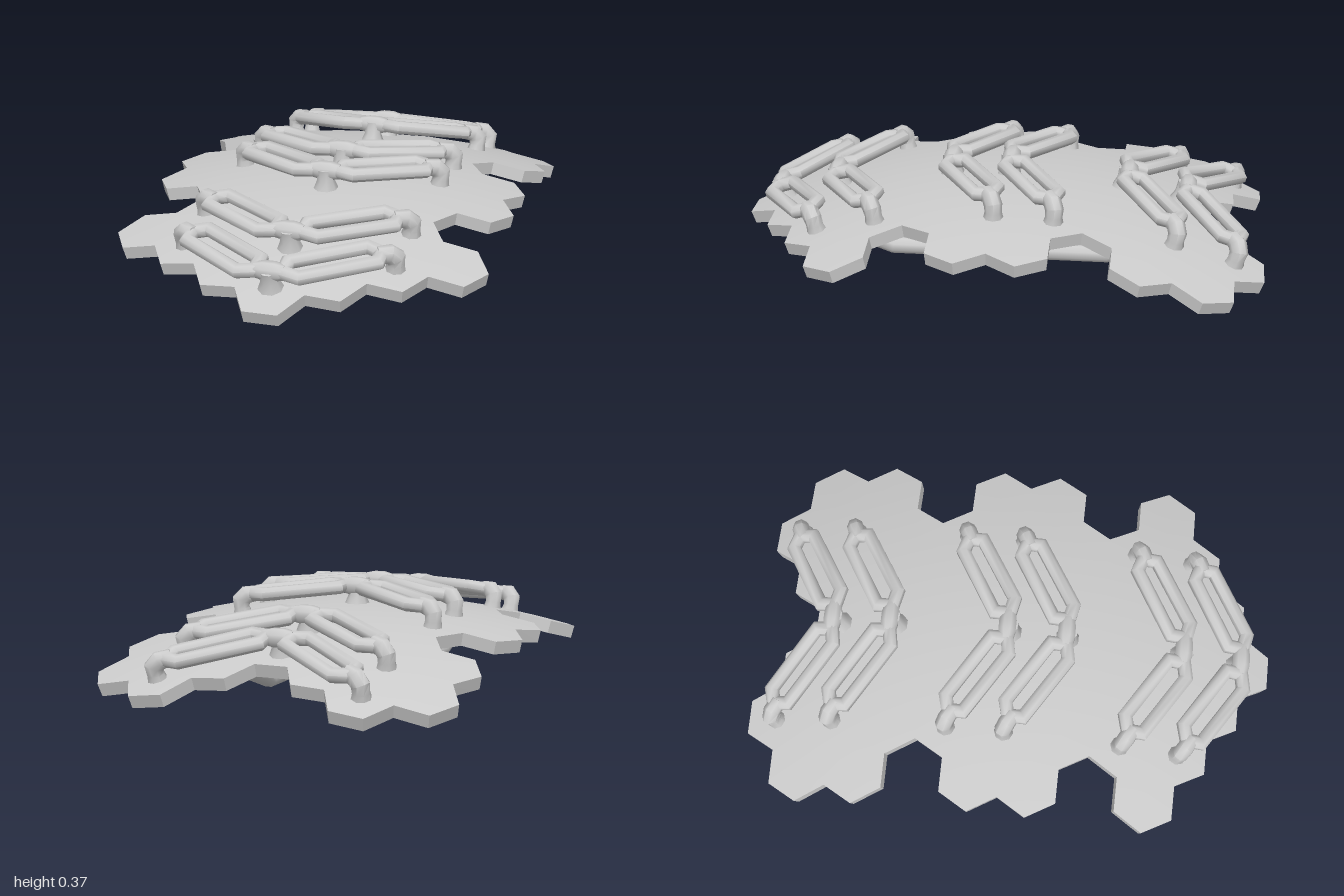
import * as THREE from 'three';
import { toCreasedNormals } from 'three/addons/utils/BufferGeometryUtils.js';

const R = 0.1283, HALF = R * Math.sqrt(3) / 2; // hexagon radius and half height
const BX = 0.16, BZ = 0.185, THICK = 0.05;
const V = (x, y, z) => new THREE.Vector3(x, y, z);
const material = new THREE.MeshStandardMaterial({ color: 0xcccccc });

// Point at a given offset along the normal of the domed top surface
function onDome(x, z, offset = 0) {
  const n = V(2 * BX * x, 1, 2 * BZ * z).normalize();
  return V(x, 0.28 - BX * x * x - BZ * z * z, z).addScaledVector(n, offset);
}

// Mesh from a list of corner points, three per triangle
function meshFrom(points, name, crease) {
  const geo = new THREE.BufferGeometry().setFromPoints(points);
  const mesh = new THREE.Mesh(toCreasedNormals(geo, crease), material);
  mesh.name = name;
  return mesh;
}

// Mitred sweep of a round section; up is the normal of the plane of the path
function sweep(name, path, radii, up, closed = false, sides = 8) {
  const n = path.length;
  const rings = path.map((p, i) => {
    const prev = closed || i > 0 ? path[(i + n - 1) % n] : null;
    const next = closed || i < n - 1 ? path[(i + 1) % n] : null;
    const d1 = prev ? p.clone().sub(prev).normalize() : next.clone().sub(p).normalize();
    const d2 = next ? next.clone().sub(p).normalize() : d1;
    const t = d1.clone().add(d2).normalize();
    const v = t.clone().cross(up).normalize();
    const u = v.clone().cross(t);
    const r = radii[i % radii.length], mitre = 1 / Math.max(0.6, t.dot(d1));
    return Array.from({ length: sides }, (_, k) => {
      const a = (k + 0.5) / sides * Math.PI * 2;
      return p.clone().addScaledVector(u, r * Math.cos(a)).addScaledVector(v, r * mitre * Math.sin(a));
    });
  });
  const tris = [];
  for (let i = 0; i < (closed ? n : n - 1); i++) {
    const A = rings[i], B = rings[(i + 1) % n];
    for (let k = 0; k < sides; k++) {
      const m = (k + 1) % sides;
      tris.push(A[k], A[m], B[m], A[k], B[m], B[k]);
    }
  }
  if (!closed) for (let k = 0; k < sides; k++) {
    const m = (k + 1) % sides;
    tris.push(path[0], rings[0][m], rings[0][k], path[n - 1], rings[n - 1][k], rings[n - 1][m]);
  }
  return meshFrom(tris, name, 0.9);
}

// Domed plate of joined hexagons; rows are counted in half hexagon heights
function makePlate() {
  const columns = [
    [-6, -4, -2, 0, 2, 4, 6, 8],
    [-7, -5, -3, -1, 1, 3, 5, 7],
    [-8, -6, -4, -2, 0, 2, 4, 6],
    [-7, -5, -1, 1, 5],
  ];
  const has = (c, j) => (columns[Math.abs(c)] || []).includes(j);
  const neighbours = [[1, 1], [0, 2], [-1, 1], [-1, -1], [0, -2], [1, -1]];
  const tris = [];
  for (let c = -3; c <= 3; c++) for (const j of columns[Math.abs(c)]) {
    const cx = c * 1.5 * R, cz = j * HALF;
    const corner = (k, off) => onDome(cx + R * Math.cos(k * Math.PI / 3), cz + R * Math.sin(k * Math.PI / 3), off);
    neighbours.forEach(([dc, dj], k) => {
      const a = corner(k, 0), b = corner(k + 1, 0), a2 = corner(k, -THICK), b2 = corner(k + 1, -THICK);
      tris.push(onDome(cx, cz), b, a, onDome(cx, cz, -THICK), a2, b2);
      if (!has(c + dc, j + dj)) tris.push(a2, a, b, a2, b, b2);
    });
  }
  return meshFrom(tris, 'hexagonPlate', 0.5);
}

// V-shaped rail: two slotted frames, a centre post and two outer legs
function makeChevron(z0) {
  const group = new THREE.Group();
  group.name = 'chevronRail';
  const H = 0.066;
  const loop = [[0.05, 0.142], [0.29, -0.003], [0.345, 0.012], [0.345, 0.067], [0.11, 0.212], [0.05, 0.2]];
  for (const s of [1, -1]) {
    const up = onDome(s * 0.2, z0 + 0.1, 1).sub(onDome(s * 0.2, z0 + 0.1));
    const frame = loop.map(([x, z]) => onDome(s * x, z0 + z, H));
    if (s < 0) frame.reverse();
    group.add(sweep('railFrame', frame, [0.027], up, true));
    // Elbow from the outer end of the frame down to the plate
    const elbow = [[0.335, 0.03, H], [0.372, 0.01, H], [0.392, 0, H - 0.018], [0.394, 0, 0.02], [0.394, 0, -0.02]]
      .map(([x, z, h]) => onDome(s * x, z0 + z, h));
    group.add(sweep('outerLeg', elbow, [0.031, 0.034, 0.034, 0.032, 0.042], V(s * 0.45, 0, 0.9)));
  }
  const bridge = [-0.055, -0.02, 0.02, 0.055].map(x => onDome(x, z0 + 0.196, H));
  group.add(sweep('centreBridge', bridge, [0.028, 0.036, 0.036, 0.028], V(0, 1, 0)));
  const post = [H + 0.01, 0.03, -0.02].map(h => onDome(0, z0 + 0.205, h));
  group.add(sweep('centrePost', post, [0.033, 0.034, 0.055], V(0, 0, 1)));
  return group;
}

// Straight grip under the plate with flared, bent-up ends
function makeHandle(x) {
  const half = [[0.59, 0.18, 0.08], [0.565, 0.115, 0.05], [0.53, 0.083, 0.036], [0.41, 0.036, 0.033]];
  const all = [...half, ...half.map(([z, y, r]) => [-z, y, r]).reverse()];
  return sweep('underHandle', all.map(([z, y]) => V(x, y, z)), all.map(p => p[2]), V(1, 0, 0));
}

export function createModel() {
  const model = new THREE.Group();
  model.name = 'hexagonArmourPlate';
  model.add(makePlate());
  for (const row of [-8, -6, -2, 0, 4, 6]) model.add(makeChevron(row * HALF));
  for (const x of [-0.19, 0.19]) model.add(makeHandle(x));
  return model;
}
